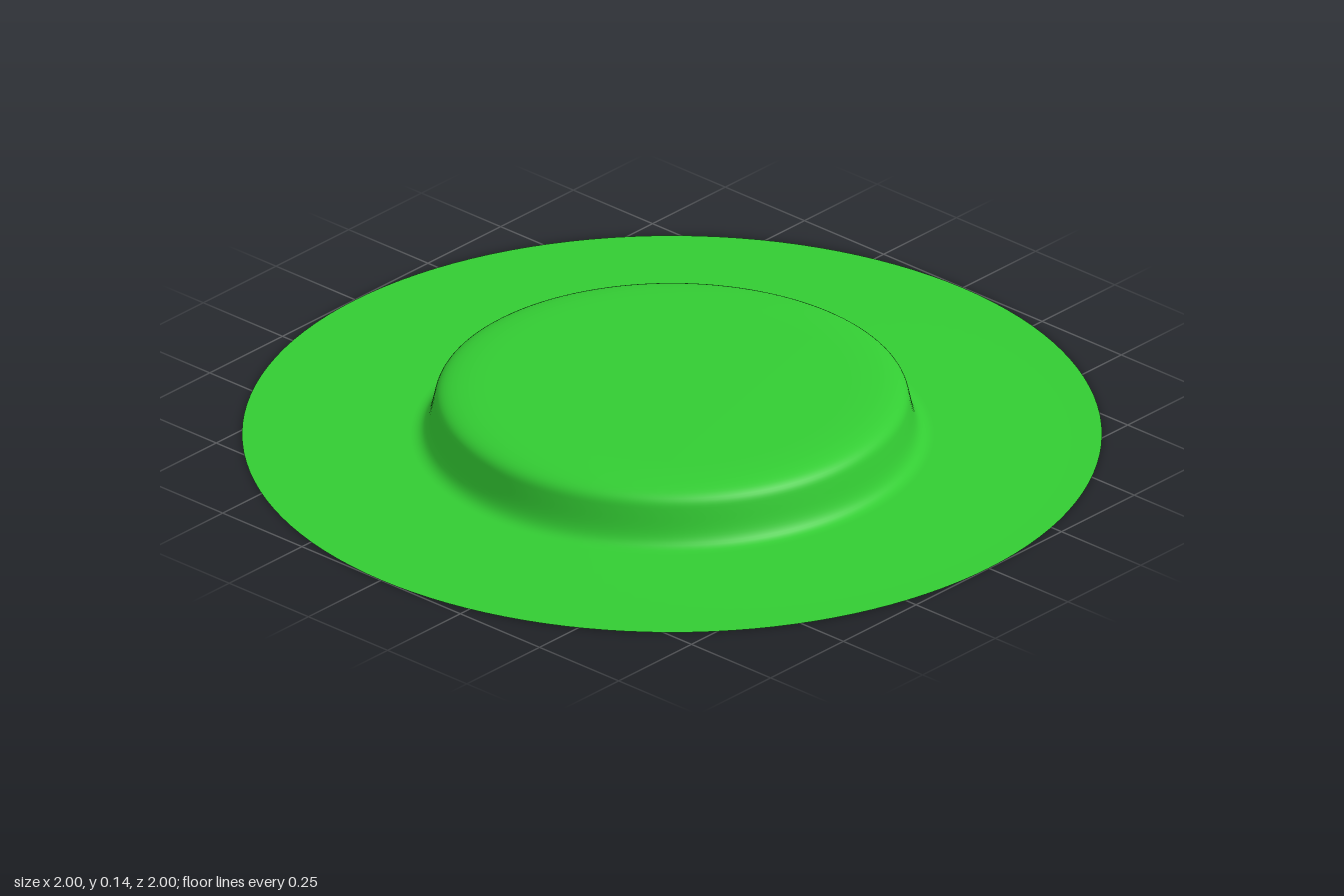
import * as THREE from 'three';

export function createModel() {
  const group = new THREE.Group();
  const material = new THREE.MeshStandardMaterial({ color: 0x33cc33, side: THREE.DoubleSide });

  // Half section from the brim edge inwards: flat brim, flared foot, steep wall, rounded shoulder, flat top
  const section = new THREE.Path();
  section.moveTo(1, 0);
  section.lineTo(0.61, 0);
  section.bezierCurveTo(0.565, 0, 0.565, 0.04, 0.553, 0.09);
  section.bezierCurveTo(0.547, 0.12, 0.525, 0.135, 0.4, 0.135);
  section.lineTo(0, 0.135);

  // Open shell, hollow beneath the raised crown
  const disc = new THREE.Mesh(new THREE.LatheGeometry(section.getPoints(14), 128), material);
  disc.name = 'raisedDisc';
  group.add(disc);
  return group;
}
